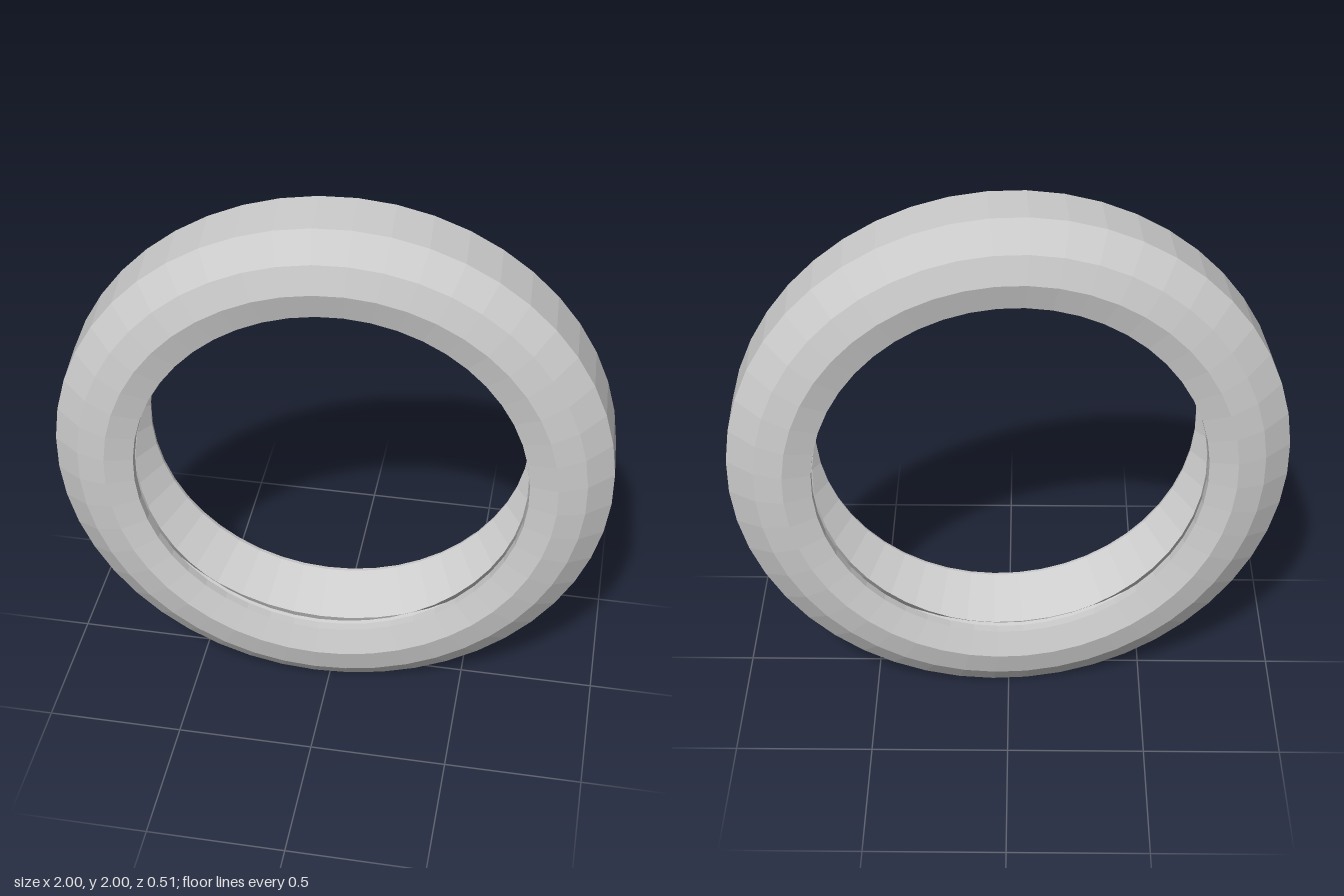
import * as THREE from 'three';

const SIDES = 48;

// Ring of revolution about the z axis from [radius, z] points
function ring(name, section) {
  const points = section.map(([r, z]) => new THREE.Vector2(r, z));
  const geometry = new THREE.LatheGeometry(points, SIDES, Math.PI / SIDES);
  geometry.rotateX(Math.PI / 2);
  const mesh = new THREE.Mesh(geometry, new THREE.MeshStandardMaterial({
    color: 0xcccccc, flatShading: true, side: THREE.DoubleSide,
  }));
  mesh.name = name;
  return mesh;
}

export function createModel() {
  const group = new THREE.Group();
  const wheel = new THREE.Group();
  wheel.name = 'wheel';

  // Outer shell: back lip, side, tread, side, front lip
  const half = [[0.902, 0.174], [0.802, 0.201], [0.702, 0.174], [0.701, 0.142]];
  const mirrored = half.map(([r, z]) => [r, -z]).reverse();
  wheel.add(ring('tyre', [...mirrored, [1.0, -0.1], [0.995, 0.1], ...half]));

  // Deep V groove inside, seated slightly high
  const groove = ring('innerGroove', [[0.697, 0.142], [0.815, 0], [0.697, -0.142]]);
  groove.position.y = 0.012;
  wheel.add(groove);

  // Slight turn about the vertical
  wheel.rotation.y = 0.065;
  wheel.position.set(0.002, 0.999, -0.002);
  group.add(wheel);
  return group;
}
